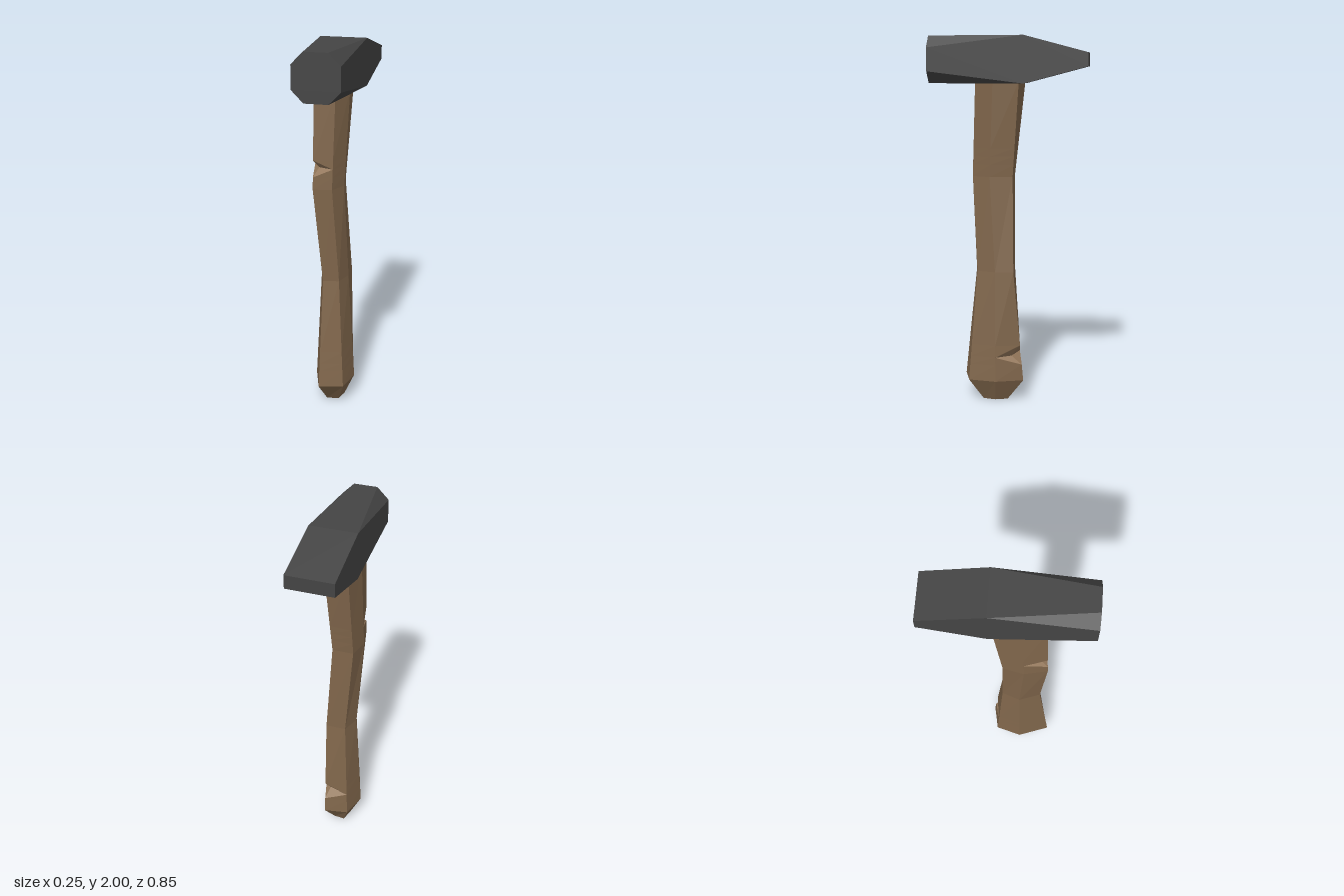
import * as THREE from 'three';

const iron = new THREE.MeshStandardMaterial({ name: 'darkIron', color: 0x444444 });
const wood = new THREE.MeshStandardMaterial({ name: 'wood', color: 0x80664b });
const cutWood = new THREE.MeshStandardMaterial({ name: 'cutWood', color: 0x93775a });
iron.flatShading = wood.flatShading = cutWood.flatShading = true;

// Joins rings of points into flat faces with end caps. dents lists "ring:corner" points
// that are pushed in; triangles touching them form the second material group.
function loft(rings, dents = []) {
  const plain = [], cut = [];
  const n = rings[0].length;
  const isDent = (r, i) => dents.includes(`${r}:${i % n}`);
  const tri = (list, a, b, c) => {
    const area = b.clone().sub(a).cross(c.clone().sub(a)).length();
    if (area > 1e-7) [a, b, c].forEach((p) => list.push(p.x, p.y, p.z));
  };
  for (let r = 0; r < rings.length - 1; r++) {
    for (let i = 0; i < n; i++) {
      const j = (i + 1) % n;
      const q = [rings[r][i], rings[r][j], rings[r + 1][j], rings[r + 1][i]];
      const d = [isDent(r, i), isDent(r, j), isDent(r + 1, j), isDent(r + 1, i)];
      // The diagonal avoids the pushed-in corner
      const split = d[0] || d[2] ? [[0, 1, 3], [1, 2, 3]] : [[0, 1, 2], [0, 2, 3]];
      for (const t of split) {
        tri(t.some((k) => d[k]) ? cut : plain, q[t[0]], q[t[1]], q[t[2]]);
      }
    }
  }
  const first = rings[0], last = rings[rings.length - 1];
  for (let i = 1; i < n - 1; i++) {
    tri(plain, first[0], first[i + 1], first[i]);
    tri(plain, last[0], last[i], last[i + 1]);
  }
  const geometry = new THREE.BufferGeometry();
  geometry.setAttribute('position', new THREE.Float32BufferAttribute([...plain, ...cut], 3));
  geometry.addGroup(0, plain.length / 3, 0);
  if (cut.length) geometry.addGroup(plain.length / 3, cut.length / 3, 1);
  geometry.computeVertexNormals();
  return geometry;
}

// Head section: a rectangle across z with corners cut by c
function headRing(z, halfHeight, c) {
  const w = 0.126, h = halfHeight;
  return [
    [w, -h + c], [w, h - c], [w - c, h], [-w + c, h],
    [-w, h - c], [-w, -h + c], [-w + c, -h], [w - c, -h],
  ].map(([x, y]) => new THREE.Vector3(x, 1.875 + y, z));
}

// Six-sided handle sections: height, then x and z of each corner
const sections = [
  [0, [[-0.03, 0.15], [0.035, 0.14], [0.05, 0.07], [0.03, 0.005], [-0.03, 0], [-0.05, 0.08]]],
  [0.12, [[-0.05, 0.25], [0.08, 0.215], [0.105, 0.065], [0.06, -0.085], [-0.07, -0.06], [-0.11, 0.08]]],
  [0.73, [[-0.04, 0.185], [0.045, 0.17], [0.072, 0.07], [0.065, -0.03], [-0.045, -0.028], [-0.08, 0.07]]],
  [1.25, [[-0.085, 0.213], [0.015, 0.197], [0.055, 0.1], [0.03, -0.022], [-0.086, -0.022], [-0.11, 0.09]]],
  [1.76, [[-0.08, 0.195], [0.03, 0.18], [0.08, 0.08], [0.063, -0.058], [-0.073, -0.08], [-0.1, 0.06]]],
];

// Handle ring at any height, between the two nearest sections
function handleRing(y) {
  let k = 0;
  while (k < sections.length - 2 && y > sections[k + 1][0]) k++;
  const [y0, a] = sections[k], [y1, b] = sections[k + 1];
  const t = (y - y0) / (y1 - y0);
  return a.map(([x, z], i) => new THREE.Vector3(
    THREE.MathUtils.lerp(x, b[i][0], t), y, THREE.MathUtils.lerp(z, b[i][1], t)));
}

export function createModel() {
  const group = new THREE.Group();
  group.name = 'hammer';

  // Head: thin wedge at the back, full block, eight-sided striking face
  const head = new THREE.Mesh(loft([
    headRing(-0.425, 0.036, 0),
    headRing(-0.088, 0.125, 0),
    headRing(0.425, 0.125, 0.063),
  ]), iron);
  head.name = 'head';
  group.add(head);

  // Crooked handle with a notch low at the back and one high at the front
  const rings = [0, 0.12, 0.21, 0.255, 0.32, 0.73, 1.25, 1.315, 1.36, 1.405, 1.76].map(handleRing);
  rings[3][3].set(0.045, 0.255, -0.018);
  rings[8][0].set(-0.062, 1.36, 0.165);
  const handle = new THREE.Mesh(loft(rings, ['3:3', '8:0']), [wood, cutWood]);
  handle.name = 'handle';
  group.add(handle);

  return group;
}
